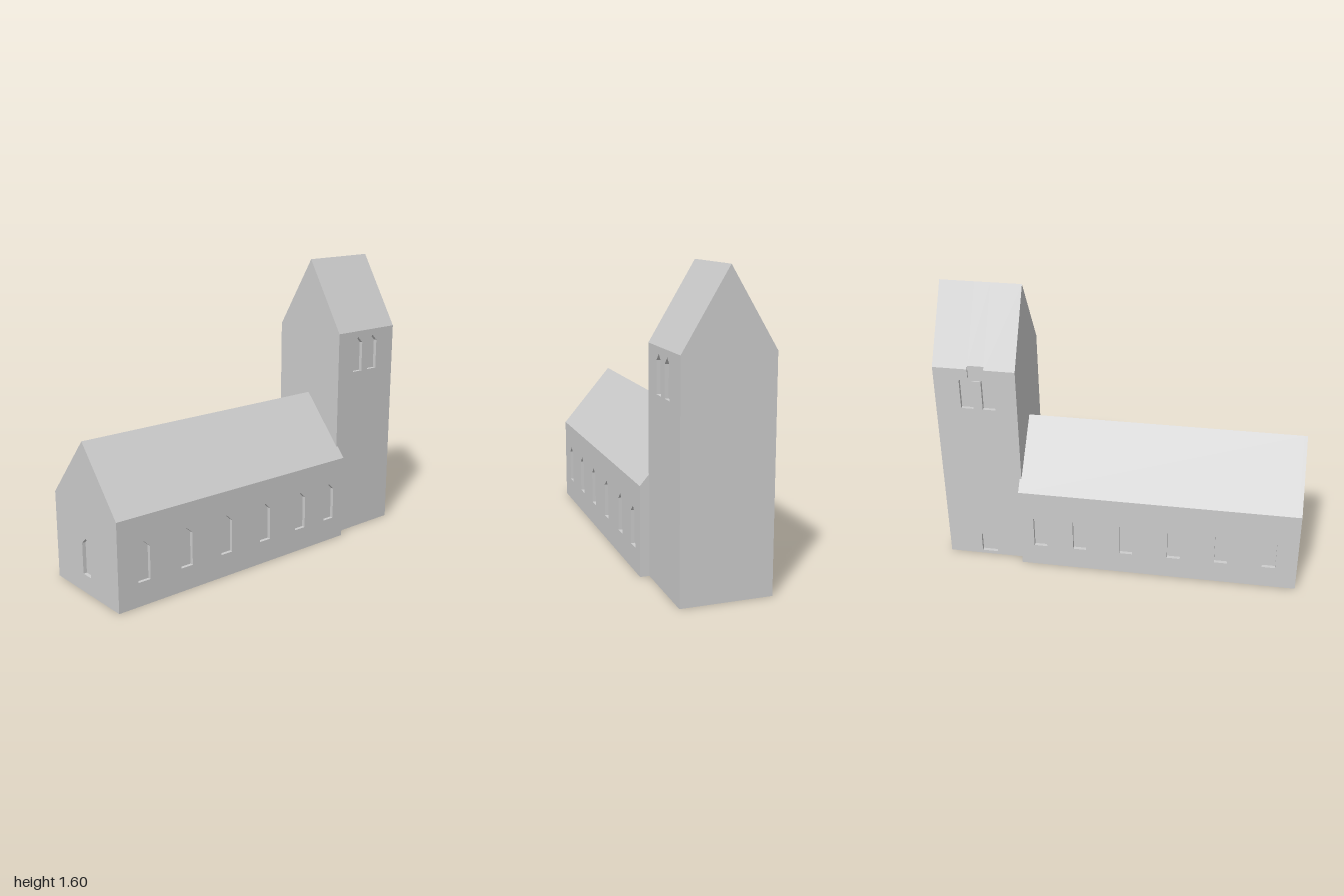
import * as THREE from 'three';

const stone = new THREE.MeshStandardMaterial({ color: 0xcccccc });
stone.name = 'pale grey stone';

const shapeOf = (pts) => new THREE.Shape(pts.map(([a, b]) => new THREE.Vector2(a, b)));
const rect = (x0, x1, y1) => [[x0, 0], [x1, 0], [x1, y1], [x0, y1]];

// Pointed opening: centre, half width, sill, springing and apex heights
const lancet = (c, w, sill, spring, apex) =>
  [[c - w, sill], [c + w, sill], [c + w, spring], [c, apex], [c - w, spring]];

export function createModel() {
  const church = new THREE.Group();
  church.name = 'church';

  function add(parent, name, geometry) {
    const mesh = new THREE.Mesh(geometry, stone);
    mesh.name = name;
    parent.add(mesh);
  }

  function extrude(outline, holes, depth) {
    const shape = shapeOf(outline);
    holes.forEach((h) => shape.holes.push(shapeOf(h)));
    return new THREE.ExtrudeGeometry(shape, { depth, bevelEnabled: false });
  }

  // Wall drawn in x and y, running from z0 to z1
  const wall = (parent, name, outline, holes, z0, z1) =>
    add(parent, name, extrude(outline, holes, z1 - z0).translate(0, 0, z0));

  // Profile drawn in z and y, running from x0 to x1
  const alongX = (parent, name, outline, holes, x0, x1) =>
    add(parent, name, extrude(outline, holes, x1 - x0).rotateY(-Math.PI / 2).translate(x1, 0, 0));

  // Nave: core, side walls with recessed windows, end gable and roof
  const nave = new THREE.Group();
  nave.name = 'nave';
  church.add(nave);
  const naveWindows = [-0.845, -0.58, -0.315, -0.045, 0.22, 0.445]
    .map((x) => lancet(x, 0.037, 0.13, 0.31, 0.345));
  alongX(nave, 'naveCore', rect(-0.27, 0.27, 0.48), [], -0.98, 0.56);
  wall(nave, 'naveFrontWall', rect(-0.98, 0.56, 0.48), naveWindows, 0.27, 0.29);
  wall(nave, 'naveBackWall', rect(-0.98, 0.56, 0.48), naveWindows, -0.29, -0.27);
  alongX(nave, 'naveRoof', [[-0.29, 0.48], [0.29, 0.48], [0, 0.82]], [], -0.98, 0.56);
  alongX(nave, 'naveGable',
    [[-0.29, 0], [0.29, 0], [0.29, 0.48], [0, 0.82], [-0.29, 0.48]],
    [lancet(0, 0.037, 0.1, 0.27, 0.305)], -1, -0.98);

  // Tower: core and front wall with paired belfry windows
  const tower = new THREE.Group();
  tower.name = 'tower';
  church.add(tower);
  const belfry = [0.705, 0.825].map((x) => lancet(x, 0.035, 0.965, 1.13, 1.165));
  const door = lancet(0.765, 0.045, 0.02, 0.13, 0.185);
  alongX(tower, 'towerCore', rect(-0.22, 0.22, 1.2), [], 0.55, 1);
  wall(tower, 'towerFrontWall', rect(0.55, 1, 1.2), belfry, 0.22, 0.24);

  // Back wall in two layers: a shallow notch joins the belfry windows at the eaves
  wall(tower, 'towerBackInnerWall', rect(0.55, 1, 1.2), [...belfry, door], -0.23, -0.22);
  wall(tower, 'towerBackOuterWall', [
    [0.55, 0], [1, 0], [1, 1.2], [0.81, 1.2], [0.81, 1.15], [0.825, 1.165],
    [0.86, 1.13], [0.86, 0.965], [0.79, 0.965], [0.79, 1.13], [0.74, 1.13],
    [0.74, 0.965], [0.67, 0.965], [0.67, 1.13], [0.705, 1.165], [0.72, 1.15],
    [0.72, 1.2], [0.55, 1.2],
  ], [door], -0.24, -0.23);

  // Saddleback roof, clipped above the notch
  const gable = [[-0.24, 1.2], [0.24, 1.2], [0, 1.6]];
  const clipped = [[-0.23, 1.2], [0.24, 1.2], [0, 1.6], [-0.23, 1.2167]];
  alongX(tower, 'towerRoofInner', gable, [], 0.55, 0.72);
  alongX(tower, 'towerRoofNotched', clipped, [], 0.72, 0.81);
  alongX(tower, 'towerRoofOuter', gable, [], 0.81, 1);

  return church;
}
